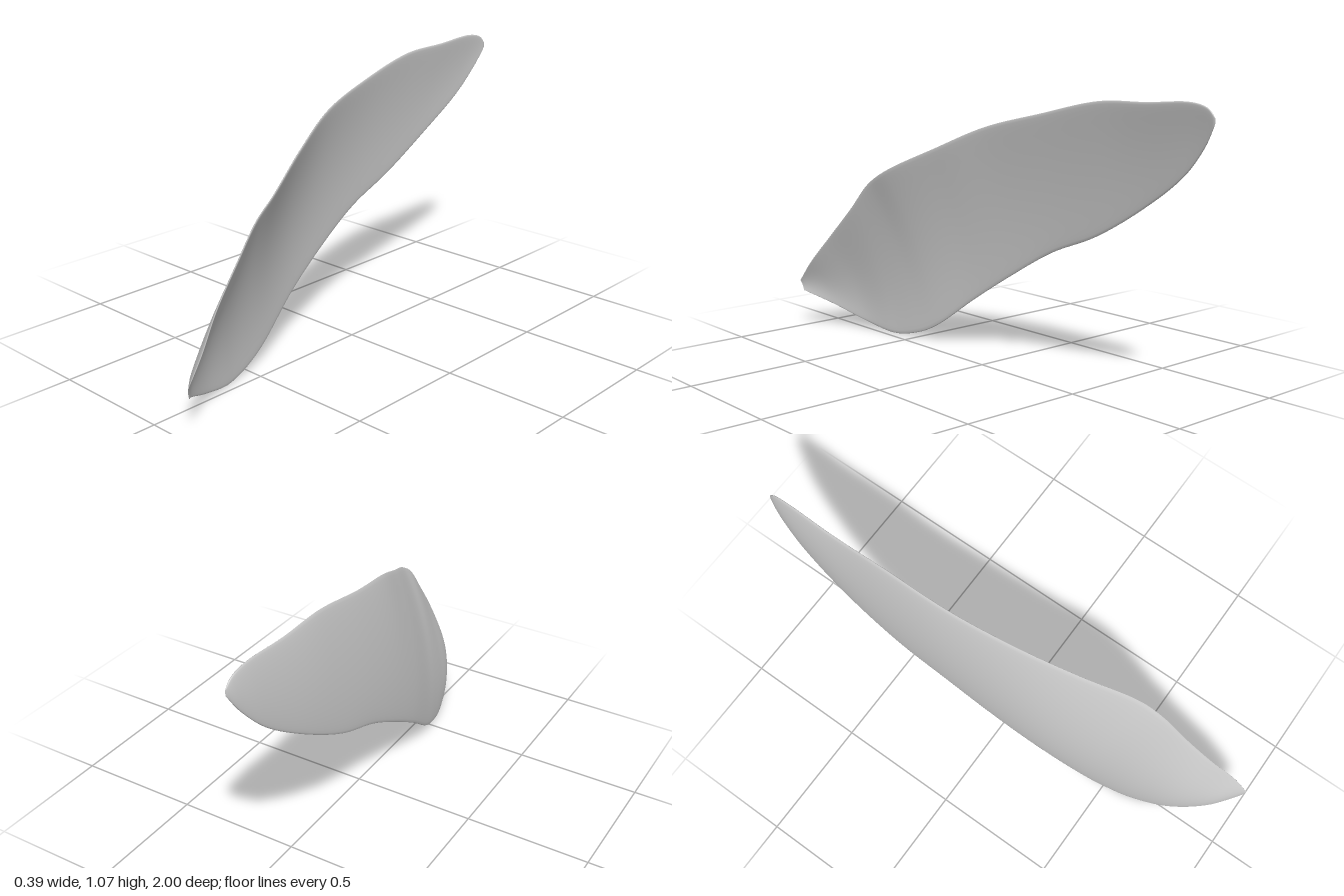
import * as THREE from 'three';

// Cross-section stations from front tip to back tip:
// lower edge x, y, z, then upper edge x, y, z
const STATIONS = [
  [0.185, 0.165, 0.99, 0.195, 0.21, 1.0],
  [0.09, 0.105, 0.9, 0.185, 0.3, 0.93],
  [0.01, 0.04, 0.77, 0.152, 0.42, 0.83],
  [-0.04, 0.004, 0.62, 0.125, 0.56, 0.7],
  [-0.07, 0.025, 0.5, 0.11, 0.67, 0.6],
  [-0.093, 0.07, 0.4, 0.092, 0.735, 0.5],
  [-0.137, 0.215, 0.2, 0.008, 0.84, 0.28],
  [-0.165, 0.345, 0, -0.063, 0.935, 0.06],
  [-0.182, 0.46, -0.2, -0.112, 1.0, -0.2],
  [-0.19, 0.55, -0.42, -0.134, 1.06, -0.48],
  [-0.186, 0.68, -0.65, -0.14, 1.067, -0.7],
  [-0.168, 0.82, -0.85, -0.138, 1.077, -0.9],
  [-0.15, 0.93, -0.95, -0.136, 1.06, -0.97],
  [-0.135, 1.01, -1, -0.135, 1.03, -1],
];

const edgeCurve = (k) => new THREE.CatmullRomCurve3(
  STATIONS.map((s) => new THREE.Vector3(s[k], s[k + 1], s[k + 2])));

// Thin curved shell: closed lens-shaped rings lofted between the two edges
function shellGeometry(lengthSteps, ringSteps, halfThickness) {
  const lower = edgeCurve(0), upper = edgeCurve(3);
  const positions = [], indices = [];
  for (let i = 0; i <= lengthSteps; i++) {
    const u = i / lengthSteps;
    const a = lower.getPoint(u), b = upper.getPoint(u);
    const h = halfThickness * Math.pow(Math.max(0, Math.sin(Math.PI * u)), 0.4);
    for (let j = 0; j < ringSteps; j++) {
      const angle = (j / ringSteps) * Math.PI * 2;
      const t = (1 - Math.cos(angle)) / 2;
      const s = Math.sin(angle);
      const p = a.clone().lerp(b, t);
      // the upper edge flares outward, so the section is a parabola
      p.x -= t * (1 - t) * (b.x - a.x);
      p.x += h * Math.sign(s) * Math.pow(Math.abs(s), 0.6);
      positions.push(p.x, p.y, p.z);
    }
  }
  for (let i = 0; i < lengthSteps; i++) {
    for (let j = 0; j < ringSteps; j++) {
      const p = i * ringSteps + j, q = i * ringSteps + (j + 1) % ringSteps;
      indices.push(p, p + ringSteps, q, q, p + ringSteps, q + ringSteps);
    }
  }
  const geometry = new THREE.BufferGeometry();
  geometry.setAttribute('position', new THREE.Float32BufferAttribute(positions, 3));
  geometry.setIndex(indices);
  geometry.computeVertexNormals();
  return geometry;
}

export function createModel() {
  const model = new THREE.Group();
  model.name = 'curvedBlade';
  const paleGrey = new THREE.MeshStandardMaterial({ color: 0xc8c8c8 });
  paleGrey.name = 'paleGrey';
  const shell = new THREE.Mesh(shellGeometry(104, 40, 0.011), paleGrey);
  shell.name = 'bladeShell';
  model.add(shell);
  return model;
}
